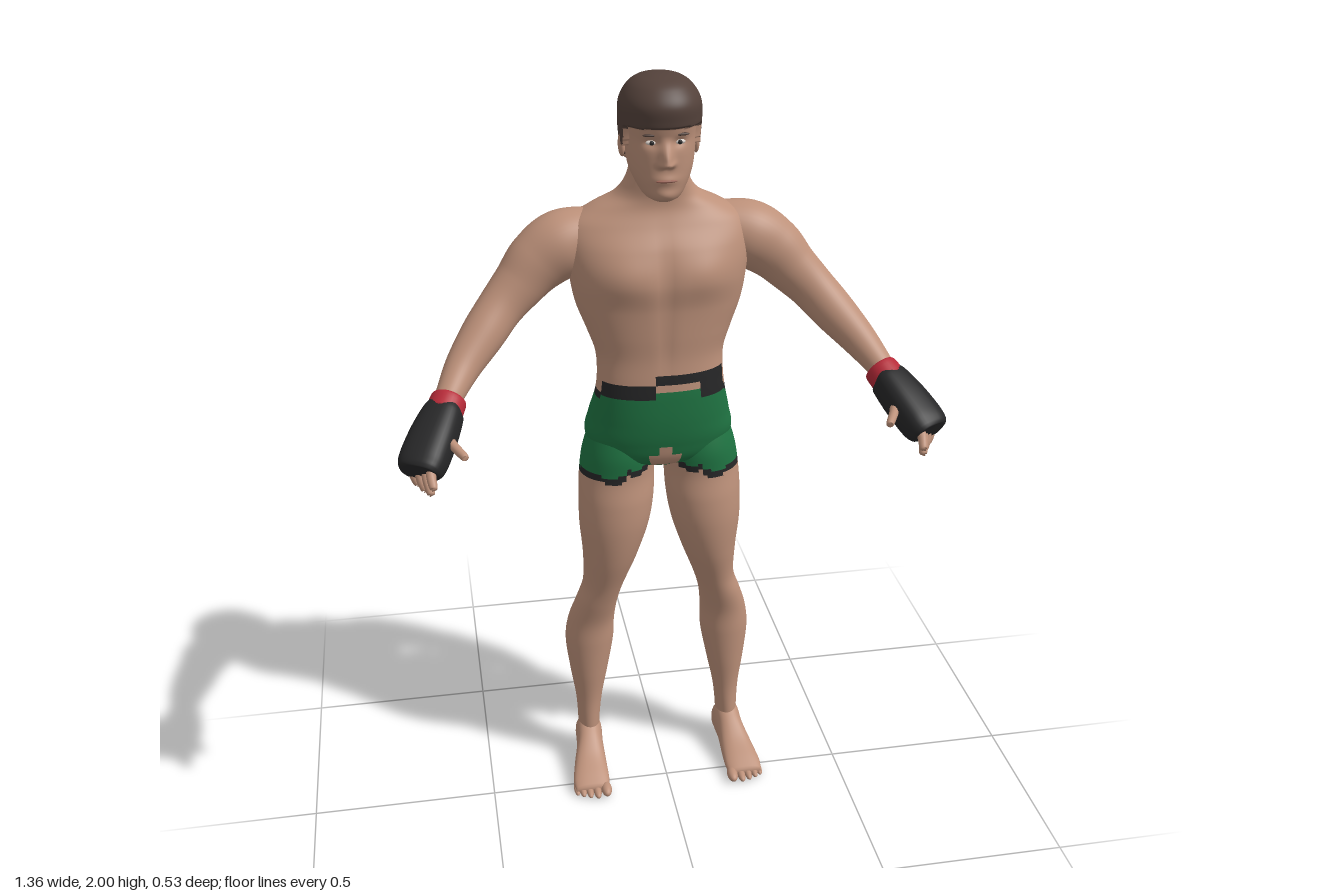
import * as THREE from 'three';

const mat = (name, color) => Object.assign(new THREE.MeshStandardMaterial({ color }), { name });
const bump = (d, w) => Math.exp(-((d / w) ** 2));
const step = THREE.MathUtils.smoothstep;

// Smooth interpolation of rows [t, a, b, ...] at t
function sample(rows, t) {
  let i = 0;
  while (i < rows.length - 2 && t > rows[i + 1][0]) i++;
  const p = rows[i], q = rows[i + 1], o = rows[i - 1] || p, r = rows[i + 2] || q;
  const h = q[0] - p[0], s = (t - p[0]) / h, s2 = s * s, s3 = s2 * s;
  return p.map((_, k) => {
    const m0 = (q[k] - o[k]) / (q[0] - o[0]) * h, m1 = (r[k] - p[k]) / (r[0] - p[0]) * h;
    return (2 * s3 - 3 * s2 + 1) * p[k] + (s3 - 2 * s2 + s) * m0 + (3 * s2 - 2 * s3) * q[k] + (s3 - s2) * m1;
  });
}

// Closed skin through rings; pick(centre of face) gives a material index
function skinGeometry(nu, nv, fn, pick = () => 0) {
  const pts = [];
  for (let j = 0; j <= nv; j++)
    for (let i = 0; i < nu; i++) pts.push(fn((i / nu) * Math.PI * 2, j / nv));
  const centre = (j) => pts.slice(j * nu, j * nu + nu)
    .reduce((s, p) => s.add(p), new THREE.Vector3()).divideScalar(nu);
  const lo = pts.length, hi = lo + 1;
  pts.push(centre(0), centre(nv));
  const lists = [];
  const tri = (a, b, c, k) => (lists[k] ||= []).push(a, b, c);
  const pickAt = (a, b) => pick(pts[a].clone().add(pts[b]).multiplyScalar(0.5));
  for (let i = 0; i < nu; i++) {
    const n = (i + 1) % nu, e = nv * nu;
    tri(lo, n, i, pickAt(i, n));
    tri(hi, e + i, e + n, pickAt(e + i, e + n));
    for (let j = 0; j < nv; j++) {
      const a = j * nu + i, b = j * nu + n, k = pickAt(a, b + nu);
      tri(a, b, b + nu, k);
      tri(a, b + nu, a + nu, k);
    }
  }
  const g = new THREE.BufferGeometry().setFromPoints(pts), index = [];
  lists.forEach((l, k) => {
    g.addGroup(index.length, l.length, k);
    l.forEach((v) => index.push(v));
  });
  g.setIndex(index);
  g.computeVertexNormals();
  return g;
}

// Upright form from rows [y, centreX, halfWidth, frontZ, backZ], ascending in y
function upright(rows, nu, nv, pick, shape = (p) => p, e = 1) {
  const y0 = rows[0][0], y1 = rows.at(-1)[0];
  const pw = (v) => Math.sign(v) * Math.abs(v) ** e;
  return skinGeometry(nu, nv, (a, v) => {
    const [y, cx, w, f, b] = sample(rows, y0 + (y1 - y0) * v);
    return shape(new THREE.Vector3(cx + w * pw(Math.cos(a)), y, (f + b) / 2 - ((f - b) / 2) * pw(Math.sin(a))));
  }, pick);
}

// Limb along rows [x, y, z, halfWidth, halfThickness]
function limb(rows, nu, nv, e = 1) {
  const r = rows.map((q, i) => [i, ...q]), n = rows.length - 1, up = new THREE.Vector3(0, 1, 0);
  const pw = (v) => Math.sign(v) * Math.abs(v) ** e;
  const at = (t) => new THREE.Vector3(...sample(r, t).slice(1, 4));
  return skinGeometry(nu, nv, (a, v) => {
    const t = v * n, [, x, y, z, w, h] = sample(r, t);
    const T = at(Math.min(n, t + 0.05)).sub(at(Math.max(0, t - 0.05))).normalize();
    const U = up.clone().cross(T).normalize(), V = T.clone().cross(U);
    return new THREE.Vector3(x, y, z).addScaledVector(U, w * pw(Math.cos(a))).addScaledVector(V, h * pw(Math.sin(a)));
  });
}

const ball = (x, y, z, rx, ry, rz) => new THREE.SphereGeometry(1, 20, 14).scale(rx, ry, rz).translate(x, y, z);

function mirrored(g) {
  const m = g.clone().scale(-1, 1, 1), ix = m.index;
  for (let i = 0; i < ix.count; i += 3) {
    const b = ix.getX(i + 1);
    ix.setX(i + 1, ix.getX(i + 2));
    ix.setX(i + 2, b);
  }
  return m;
}

export function createModel() {
  const root = new THREE.Group();
  root.name = 'fighter';
  const skin = mat('skin', 0xbd917a), green = mat('shorts green', 0x1f7342), black = mat('black', 0x262627);
  const red = mat('cuff red', 0xb52a38), brown = mat('hair brown', 0x54423b);
  const white = mat('eye white', 0xd8cfc8), lip = mat('lip', 0x9c6557);
  const add = (name, g, m) => {
    const mesh = new THREE.Mesh(g, m);
    mesh.name = name;
    root.add(mesh);
  };
  const pair = (name, g, m) => {
    add('left ' + name, g, m);
    add('right ' + name, mirrored(g), m);
  };
  const clothed = [skin, green, black];

  // Torso with neck, pelvis and the upper shorts
  const torso = [
    [0.975, 0, 0.07, -0.07, -0.17], [1.005, 0, 0.16, -0.025, -0.228], [1.06, 0, 0.195, -0.006, -0.252],
    [1.12, 0, 0.186, 0.002, -0.24], [1.19, 0, 0.17, 0.003, -0.198], [1.24, 0, 0.164, 0, -0.192],
    [1.3, 0, 0.166, -0.004, -0.208], [1.36, 0, 0.186, -0.002, -0.228], [1.43, 0, 0.212, 0, -0.246],
    [1.5, 0, 0.225, 0.004, -0.258], [1.58, 0, 0.235, -0.018, -0.257], [1.635, 0, 0.222, -0.048, -0.246],
    [1.672, 0, 0.165, -0.064, -0.233], [1.7, 0, 0.11, -0.066, -0.215], [1.74, 0, 0.08, -0.06, -0.196],
    [1.8, 0, 0.066, -0.06, -0.175],
  ];
  const muscles = (p) => {
    const x = Math.abs(p.x), { y } = p;
    if (p.z < -0.12) {
      p.z += 0.022 * bump(x, 0.03) * step(y, 0.98, 1.05) * (1 - step(y, 1.55, 1.68));
      p.z += 0.025 * bump(x, 0.018) * bump(y - 1.05, 0.07);
      p.z -= 0.01 * bump(x - 0.09, 0.06) * bump(y - 1.55, 0.07);
    } else if (p.z > -0.09) {
      p.z += 0.012 * bump(x - 0.1, 0.07) * bump(y - 1.525, 0.055);
      p.z -= 0.007 * bump(x, 0.02) * bump(y - 1.5, 0.1) + 0.004 * bump(x, 0.015) * bump(y - 1.34, 0.08);
    }
    return p;
  };
  add('torso', upright(torso, 96, 130, ({ x, y, z }) => {
    if (z > -0.06) {
      if (Math.abs(x) < (y > 1.035 ? 0.014 : 0.038) && y < 1.055) return 0;
      const [bottom, top] = x < -0.03 ? [1.2, 1.236] : x < 0.09 ? [1.238, 1.262] : [1.192, 1.258];
      if (y > top) return 0;
      if (y > bottom) return 2;
      return Math.abs(x - 0.03) < 0.06 && y > 1.218 ? 0 : 1;
    }
    if (z < -0.12 && Math.abs(x) < 0.1 && y < 1.025) return 0;
    return y > 1.205 ? 0 : y > 1.185 ? 2 : 1;
  }, muscles, 0.88), clothed);

  // Legs, with the shorts' legs and hems
  const leg = [
    [0.03, 0.207, 0.032, -0.11, -0.197], [0.1, 0.206, 0.03, -0.106, -0.198], [0.2, 0.203, 0.037, -0.108, -0.197],
    [0.3, 0.2, 0.054, -0.1, -0.215], [0.4, 0.196, 0.068, -0.094, -0.226], [0.47, 0.19, 0.065, -0.09, -0.215],
    [0.54, 0.175, 0.058, -0.072, -0.198], [0.6, 0.157, 0.056, -0.056, -0.2], [0.7, 0.138, 0.074, -0.026, -0.203],
    [0.8, 0.126, 0.094, -0.011, -0.203], [0.88, 0.119, 0.101, -0.012, -0.207], [0.95, 0.115, 0.101, -0.022, -0.214],
    [1.02, 0.108, 0.097, -0.022, -0.222], [1.1, 0.1, 0.08, -0.04, -0.2],
  ];
  pair('leg', upright(leg, 56, 120, ({ x, y, z }) => {
    if (x < 0.04 && y < 1.0 && y > 0.97) return 0;
    const hem = (x < 0.1 ? 0.966 : 0.95) + (Math.sin(x * 90 + z * 60) > 0 ? 0.008 : 0);
    return y > hem + 0.018 ? 1 : y > hem ? 2 : 0;
  }), clothed);

  // Feet, laid forward from rows [z, x, halfWidth, -bottom, -top]
  pair('foot', upright([
    [-0.206, 0.205, 0.014, -0.015, -0.05], [-0.19, 0.206, 0.033, -0.002, -0.09], [-0.15, 0.207, 0.038, 0, -0.13],
    [-0.1, 0.21, 0.038, 0, -0.11], [-0.04, 0.217, 0.046, 0, -0.07], [0.02, 0.222, 0.051, 0, -0.044],
    [0.055, 0.223, 0.046, -0.003, -0.028],
  ], 36, 36, undefined, undefined, 0.85).rotateX(Math.PI / 2), skin);
  [[0.184, 0.056, 0.015], [0.21, 0.058, 0.011], [0.231, 0.052, 0.01], [0.25, 0.044, 0.01], [0.266, 0.034, 0.009]]
    .forEach(([x, z, r], i) => pair('toe ' + (i + 1), ball(x, r, z, r, r, 0.03), skin));

  // Arms
  pair('arm', limb([
    [0.15, 1.6, -0.16, 0.065, 0.065], [0.235, 1.575, -0.155, 0.083, 0.085], [0.3, 1.535, -0.145, 0.073, 0.08],
    [0.35, 1.485, -0.13, 0.062, 0.068], [0.4, 1.435, -0.108, 0.055, 0.06], [0.45, 1.38, -0.072, 0.054, 0.056],
    [0.505, 1.32, -0.02, 0.045, 0.046], [0.545, 1.27, 0.04, 0.035, 0.035], [0.565, 1.24, 0.07, 0.033, 0.033],
  ], 40, 70), skin);

  // Gloves with cuffs, fingers and thumb
  pair('cuff', limb([[0.546, 1.262, 0.042, 0.038, 0.036], [0.549, 1.258, 0.048, 0.045, 0.043],
    [0.566, 1.235, 0.082, 0.046, 0.044]], 32, 8), red);
  pair('glove', limb([
    [0.559, 1.243, 0.068, 0.043, 0.038], [0.564, 1.238, 0.077, 0.05, 0.044], [0.59, 1.206, 0.125, 0.058, 0.048],
    [0.618, 1.17, 0.178, 0.06, 0.047], [0.63, 1.155, 0.204, 0.054, 0.04], [0.633, 1.151, 0.21, 0.042, 0.03],
  ], 36, 36, 0.8), black);
  const fingers = [
    [[0.6, 1.17, 0.205], [0.602, 1.13, 0.253]], [[0.613, 1.16, 0.195], [0.609, 1.108, 0.236]],
    [[0.63, 1.155, 0.185], [0.622, 1.105, 0.208]], [[0.645, 1.15, 0.172], [0.637, 1.11, 0.185]],
    [[0.565, 1.21, 0.125], [0.524, 1.187, 0.217]],
  ];
  fingers.forEach(([a, b], i) => {
    const mid = a.map((v, k) => (v + b[k]) / 2 + (k === 0 ? 0.004 : 0)), end = b.map((v, k) => v + (b[k] - a[k]) * 0.06);
    pair(i < 4 ? 'finger ' + (i + 1) : 'thumb',
      limb([[...a, 0.014, 0.014], [...mid, 0.012, 0.012], [...b, 0.01, 0.01], [...end, 0.004, 0.004]], 14, 15), skin);
  });

  // Head, the hair standing slightly proud of the skull
  const hairline = [[-0.3, 1.775], [-0.16, 1.785], [-0.128, 1.8], [-0.118, 1.86], [-0.092, 1.86],
    [-0.086, 1.835], [-0.066, 1.84], [-0.055, 1.885], [0.1, 1.897]];
  const inHair = ({ y, z }) => {
    const i = Math.max(1, hairline.findIndex((h) => z < h[0])), [a, b] = [hairline[i - 1], hairline[i]];
    return y > a[1] + (b[1] - a[1]) * (z - a[0]) / (b[0] - a[0]);
  };
  const skull = [
    [1.708, 0, 0.026, -0.02, -0.09], [1.718, 0, 0.044, -0.004, -0.125], [1.745, 0, 0.062, 0.002, -0.152],
    [1.78, 0, 0.077, 0.003, -0.178], [1.82, 0, 0.084, 0.003, -0.192], [1.86, 0, 0.087, 0.002, -0.199],
    [1.9, 0, 0.09, 0.01, -0.2], [1.935, 0, 0.088, 0.012, -0.195], [1.965, 0, 0.071, -0.008, -0.178],
    [1.981, 0, 0.048, -0.035, -0.153], [1.988, 0, 0.02, -0.07, -0.12],
  ];
  const centre = new THREE.Vector3(0, 1.86, -0.1);
  const face = (p) => {
    if (inHair(p)) return p.addScaledVector(p.clone().sub(centre).normalize(), 0.012);
    if (p.z > -0.06) {
      const x = Math.abs(p.x), { y } = p;
      p.z += 0.028 * bump(x, 0.014) * step(y, 1.793, 1.808) * (1 - step(y, 1.81, 1.872));
      p.z += 0.008 * bump(x - 0.012, 0.01) * bump(y - 1.804, 0.009);
      p.z -= 0.008 * bump(x - 0.034, 0.018) * bump(y - 1.855, 0.012);
      p.z += 0.005 * bump(x, 0.03) * bump(y - 1.766, 0.012) + 0.005 * bump(x, 0.025) * bump(y - 1.728, 0.014);
    }
    return p;
  };
  // Faces touching the raised rim take the hair colour
  add('head', upright(skull, 112, 110, (p) => (inHair(p) ? 1 : 0), face, 0.95), [skin, brown]);
  pair('ear', ball(0.091, 1.832, -0.105, 0.009, 0.03, 0.018), skin);
  pair('eye', ball(0.034, 1.855, -0.013, 0.014, 0.006, 0.008), white);
  pair('pupil', ball(0.034, 1.855, -0.007, 0.0055, 0.0055, 0.004), black);
  pair('eyebrow', ball(0.036, 1.874, -0.007, 0.02, 0.004, 0.007), brown);
  add('mouth', ball(0, 1.765, 0.004, 0.026, 0.004, 0.006), lip);
  return root;
}
